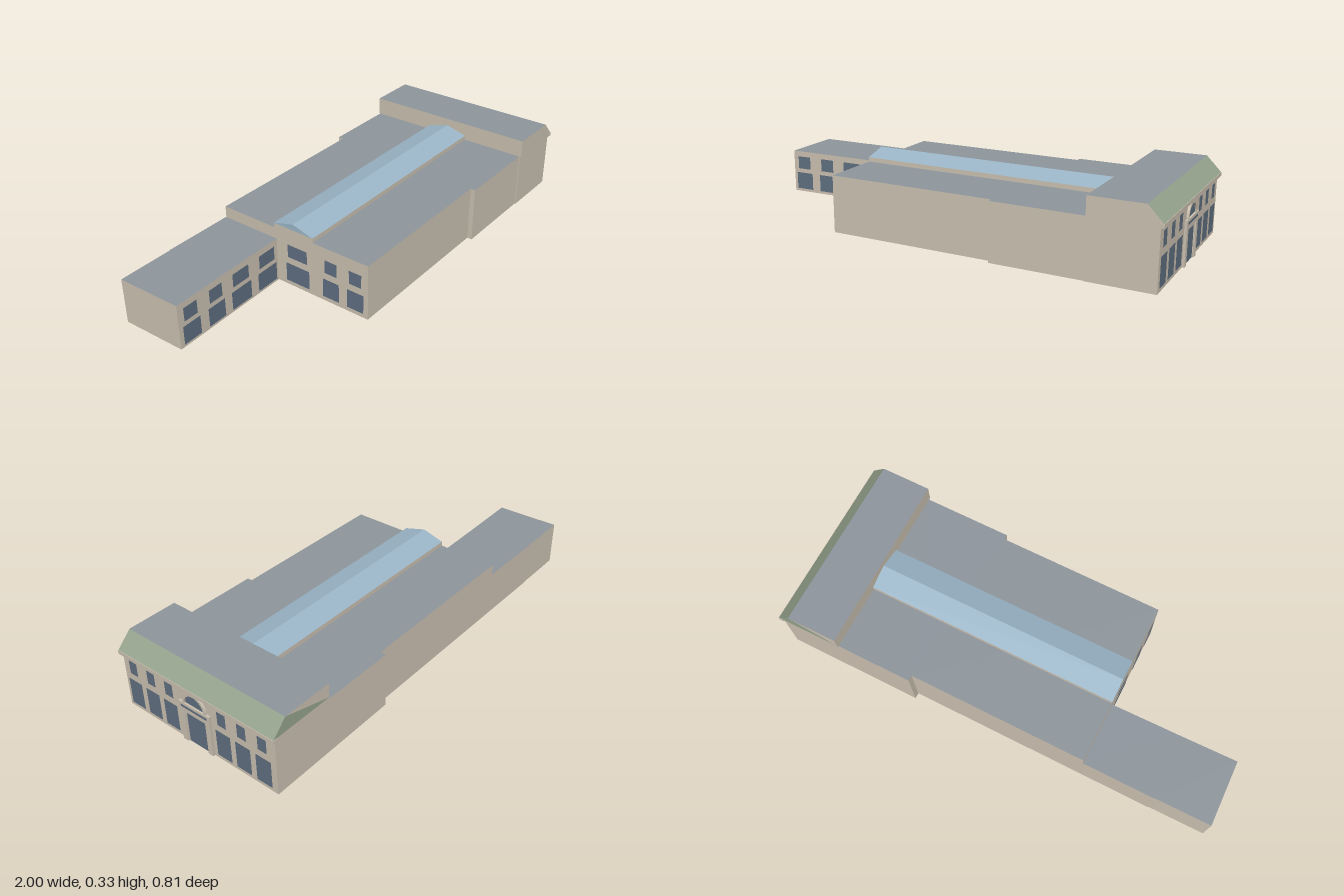
import * as THREE from 'three';

const mat = (name, color) => {
  const m = new THREE.MeshStandardMaterial({ color, side: THREE.DoubleSide });
  m.name = name;
  return m;
};

export function createModel() {
  const stone = mat('stone', 0xcac0b0);
  const roofGrey = mat('roofGrey', 0x8d959c);
  const glass = mat('windowGlass', 0x5f6e80);
  const skyGlass = mat('skylightGlass', 0x9ab5c7);
  const green = mat('copperGreen', 0x94a38d);

  const model = new THREE.Group();
  model.name = 'building';

  const add = (parent, name, geometry, material) => {
    const mesh = new THREE.Mesh(geometry, material);
    mesh.name = name;
    parent.add(mesh);
    return mesh;
  };

  // Flat convex face from a loop of 3D corners
  const face = (parent, name, material, corners) => {
    const pos = [];
    for (let i = 1; i < corners.length - 1; i++) pos.push(...corners[0], ...corners[i], ...corners[i + 1]);
    const g = new THREE.BufferGeometry();
    g.setAttribute('position', new THREE.Float32BufferAttribute(pos, 3));
    g.computeVertexNormals();
    return add(parent, name, g, material);
  };

  // Open-bottomed walls over a footprint of [x, z], counter-clockwise from above
  const shell = (name, plan, y0, y1, roofed = true) => {
    const group = new THREE.Group();
    group.name = name;
    plan.forEach(([x, z], i) => {
      const [u, w] = plan[(i + 1) % plan.length];
      face(group, name + 'Wall', stone, [[x, y0, z], [u, y0, w], [u, y1, w], [x, y1, z]]);
    });
    if (roofed) {
      const shape = new THREE.Shape(plan.map(([x, z]) => new THREE.Vector2(x, -z)));
      add(group, name + 'Roof', new THREE.ShapeGeometry(shape).rotateX(-Math.PI / 2).translate(0, y1, 0), roofGrey);
    }
    model.add(group);
    return group;
  };

  // Main hall, front block and two-bay rear annex
  shell('mainHall', [[-0.43, 0.37], [0.315, 0.37], [0.315, 0.392], [0.71, 0.392],
    [0.71, -0.395], [0.37, -0.395], [0.37, -0.37], [-0.43, -0.37]], 0, 0.25);
  shell('frontBlock', [[0.71, 0.396], [0.985, 0.396], [0.985, -0.395], [0.71, -0.395]], 0, 0.25, false);
  shell('annexInner', [[-0.75, -0.082], [-0.431, -0.088], [-0.431, -0.37], [-0.75, -0.37]], 0, 0.2);
  shell('annexOuter', [[-0.993, -0.076], [-0.75, -0.082], [-0.75, -0.368], [-1, -0.366]], 0, 0.2);

  // Skylight on a low kerb
  shell('skylightKerb', [[-0.43, 0.1], [0.71, 0.1], [0.71, -0.1], [-0.43, -0.1]], 0.25, 0.27, false);
  for (const s of [1, -1]) {
    face(model, 'skylightSlope', skyGlass, s > 0
      ? [[-0.43, 0.27, 0.1], [0.71, 0.27, 0.1], [0.71, 0.298, 0], [-0.43, 0.298, 0]]
      : [[0.71, 0.27, -0.1], [-0.43, 0.27, -0.1], [-0.43, 0.298, 0], [0.71, 0.298, 0]]);
  }
  face(model, 'skylightEnd', skyGlass, [[-0.43, 0.27, -0.1], [-0.43, 0.27, 0.1], [-0.43, 0.298, 0]]);

  // Raised attic over the front block with a sloping green front
  const attic = new THREE.Group();
  attic.name = 'attic';
  model.add(attic);
  const zf = 0.402, zb = -0.402;
  const strip = (name, material, [x0, y0], [x1, y1]) =>
    face(attic, name, material, [[x0, y0, zb], [x0, y0, zf], [x1, y1, zf], [x1, y1, zb]]);
  strip('atticBack', stone, [0.71, 0.25], [0.71, 0.33]);
  strip('atticRoof', roofGrey, [0.71, 0.33], [0.935, 0.33]);
  face(attic, 'atticSlope', green, [[0.998, 0.266, zf], [0.998, 0.266, zb], [0.935, 0.33, zb], [0.935, 0.33, zf]]);
  strip('atticUnderside', stone, [0.998, 0.25], [0.71, 0.25]);
  face(attic, 'atticEndLeft', stone, [[0.71, 0.25, zf], [0.998, 0.25, zf], [0.998, 0.266, zf], [0.935, 0.33, zf], [0.71, 0.33, zf]]);
  face(attic, 'atticEndRight', stone, [[0.71, 0.266, zb], [0.71, 0.33, zb], [0.935, 0.33, zb]]);
  face(attic, 'atticEndBase', stone, [[0.998, 0.25, zb], [0.71, 0.25, zb], [0.71, 0.266, zb], [0.998, 0.266, zb]]);
  face(attic, 'atticEndGreen', green, [[0.998, 0.266, zb], [0.71, 0.266, zb], [0.935, 0.33, zb]]);
  add(attic, 'cornice', new THREE.BoxGeometry(0.02, 0.016, 0.808).translate(0.99, 0.258, 0), stone);

  // Groups whose local +z points out of a wall
  const wallGroup = (name, x, z, turn) => {
    const g = new THREE.Group();
    g.name = name;
    g.position.set(x, 0, z);
    g.rotation.y = turn;
    model.add(g);
    return g;
  };
  const pane = (g, u, y0, y1, w, out = 0.0025) =>
    add(g, 'window', new THREE.PlaneGeometry(w, y1 - y0).translate(u, (y0 + y1) / 2, out), glass);
  const block = (g, name, u0, u1, y0, y1, d) =>
    add(g, name, new THREE.BoxGeometry(u1 - u0, y1 - y0, d).translate((u0 + u1) / 2, (y0 + y1) / 2, d / 2), stone);

  // Facade windows
  const facade = wallGroup('facadeWindows', 0.985, 0.005, Math.PI / 2);
  for (const s of [-1, 1]) {
    for (const u of [0.139, 0.238, 0.338]) {
      pane(facade, s * u, 0.017, 0.138, 0.074);
      pane(facade, s * (u - 0.001), 0.168, 0.23, 0.043);
    }
  }

  // Entrance: pilasters, entablature, door and fanlight arch
  const portal = wallGroup('entrance', 0.985, 0.003, Math.PI / 2);
  for (const s of [-1, 1]) {
    block(portal, 'pilaster', s * 0.0675 - 0.0125, s * 0.0675 + 0.0125, 0, 0.15, 0.01);
    block(portal, 'doorJamb', s * 0.0525 - 0.0025, s * 0.0525 + 0.0025, 0, 0.142, 0.006);
  }
  block(portal, 'doorHead', -0.055, 0.055, 0.14, 0.15, 0.006);
  block(portal, 'entablature', -0.08, 0.08, 0.15, 0.187, 0.01);
  pane(portal, 0, 0.166, 0.177, 0.136, 0.0115).name = 'friezePanel';
  pane(portal, 0, 0, 0.14, 0.1).name = 'door';
  const arch = new THREE.Shape();
  arch.absarc(0, 0, 0.061, 0, Math.PI, false);
  arch.absarc(0, 0, 0.05, Math.PI, 0, true);
  add(portal, 'arch', new THREE.ExtrudeGeometry(arch, { depth: 0.009, bevelEnabled: false, curveSegments: 16 })
    .translate(0, 0.187, 0), stone);
  add(portal, 'fanlight', new THREE.CircleGeometry(0.05, 20, 0, Math.PI).translate(0, 0.187, 0.0025), glass);

  // Annex windows, following its slightly skewed front wall
  const annex = wallGroup('annexWindows', -0.711, -0.082, Math.atan2(0.012, 0.562));
  for (const [x, w] of [[-0.931, 0.09], [-0.797, 0.09], [-0.656, 0.112], [-0.501, 0.112]]) {
    pane(annex, x + 0.711, 0.014, 0.095, w, 0.004);
    pane(annex, x + 0.711, 0.115, 0.175, w - 0.021, 0.004);
  }

  // Windows in the hall's rear wall
  const rear = wallGroup('rearWindows', -0.43, 0, -Math.PI / 2);
  for (const [z, w] of [[0.31, 0.08], [0.19, 0.08], [0.02, 0.12]]) {
    pane(rear, z, 0.02, 0.105, w);
    pane(rear, z, 0.135, 0.195, w - 0.02);
  }

  return model;
}
